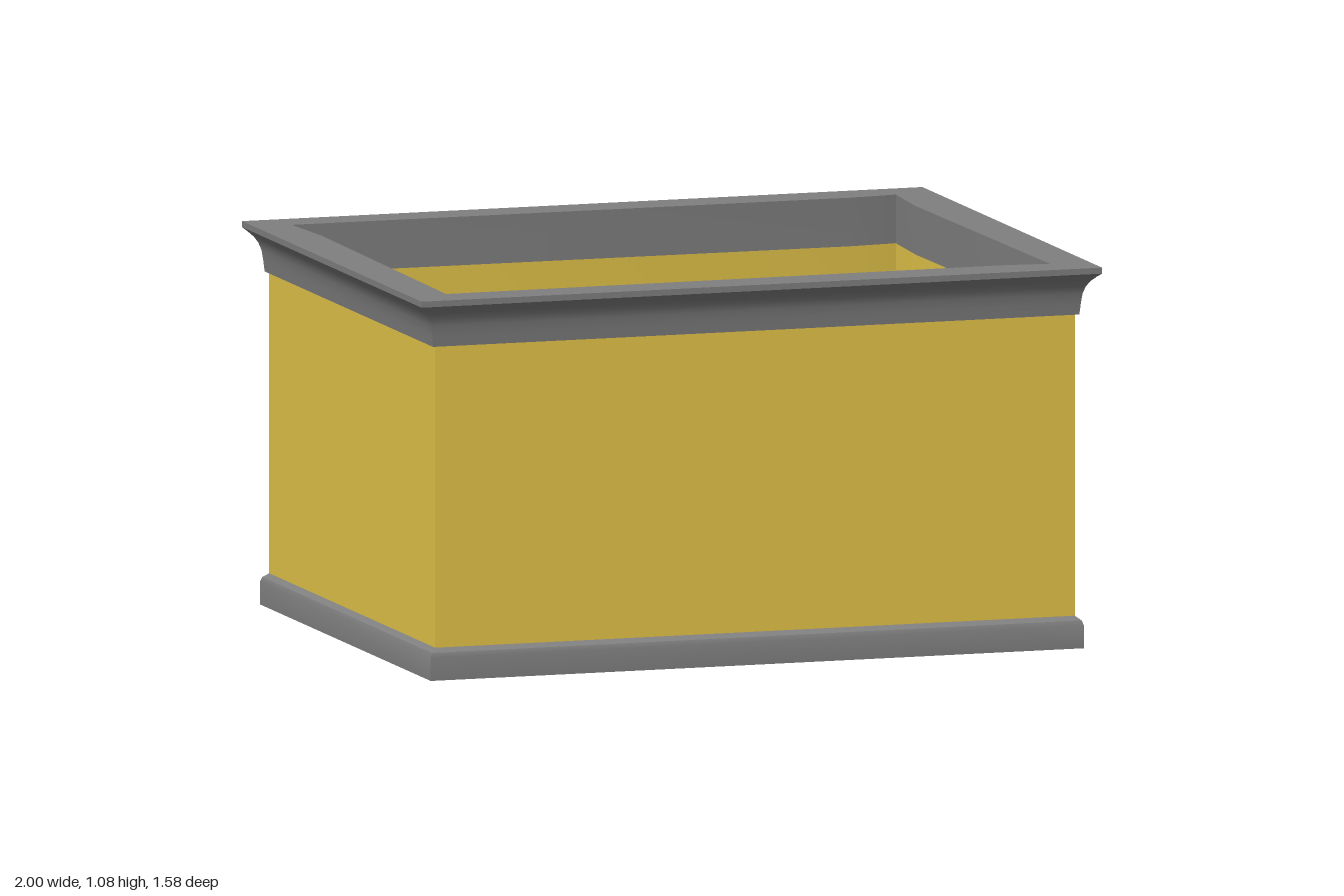
import * as THREE from 'three';
import { toCreasedNormals } from 'three/addons/utils/BufferGeometryUtils.js';

// Stations round the rectangle: wall point [x, z], outward direction, inner opening point.
// The opening is slightly uneven, so each side has one extra station.
const stations = [
  { wall: [0.94, -0.73], out: [1, -1], inner: [0.885, -0.68] },
  { wall: [0.94, -0.46], out: [1, 0], inner: [0.87, -0.46] },
  { wall: [0.94, 0.73], out: [1, 1], inner: [0.885, 0.675] },
  { wall: [0.75, 0.73], out: [0, 1], inner: [0.75, 0.66] },
  { wall: [-0.94, 0.73], out: [-1, 1], inner: [-0.89, 0.675] },
  { wall: [-0.94, -0.46], out: [-1, 0], inner: [-0.875, -0.46] },
  { wall: [-0.94, -0.73], out: [-1, -1], inner: [-0.89, -0.68] },
  { wall: [0.75, -0.73], out: [0, -1], inner: [0.75, -0.665] },
];

// Sweeps a profile of [offset from wall, y], listed bottom to top, round the frame
// with mitred corners and closes it along the inner opening.
function frame(name, profile, color) {
  const y0 = profile[0][1], y1 = profile[profile.length - 1][1];
  const rings = stations.map(({ wall, out, inner }) => [
    ...profile.map(([d, y]) => [wall[0] + out[0] * d, y, wall[1] + out[1] * d]),
    [inner[0], y1, inner[1]],
    [inner[0], y0, inner[1]],
  ]);
  const positions = [];
  rings.forEach((ring, i) => {
    const next = rings[(i + 1) % rings.length];
    ring.forEach((a, j) => {
      const k = (j + 1) % ring.length;
      const b = ring[k], c = next[k], d = next[j];
      positions.push(...a, ...b, ...c, ...a, ...c, ...d);
    });
  });
  const geometry = new THREE.BufferGeometry();
  geometry.setAttribute('position', new THREE.Float32BufferAttribute(positions, 3));
  const material = new THREE.MeshStandardMaterial({ color });
  const mesh = new THREE.Mesh(toCreasedNormals(geometry, 0.5), material);
  mesh.name = name;
  return mesh;
}

export function createModel() {
  const group = new THREE.Group();
  group.name = 'openFrame';

  // Skirting with a small chamfer on its upper edge
  const base = [[0.02, 0], [0.02, 0.065], [0.015, 0.078], [0, 0.09]];
  // Plain wall
  const walls = [[0, 0.09], [0, 0.94]];
  // Cove moulding that flares out to a thin lip
  const cornice = [
    [0.01, 0.94], [0.013, 0.97], [0.017, 1.0], [0.024, 1.02],
    [0.034, 1.036], [0.048, 1.05], [0.06, 1.06], [0.06, 1.077],
  ];

  group.add(
    frame('baseMoulding', base, 0x808080),
    frame('walls', walls, 0xe5c54a),
    frame('cornice', cornice, 0x808080),
  );
  return group;
}
